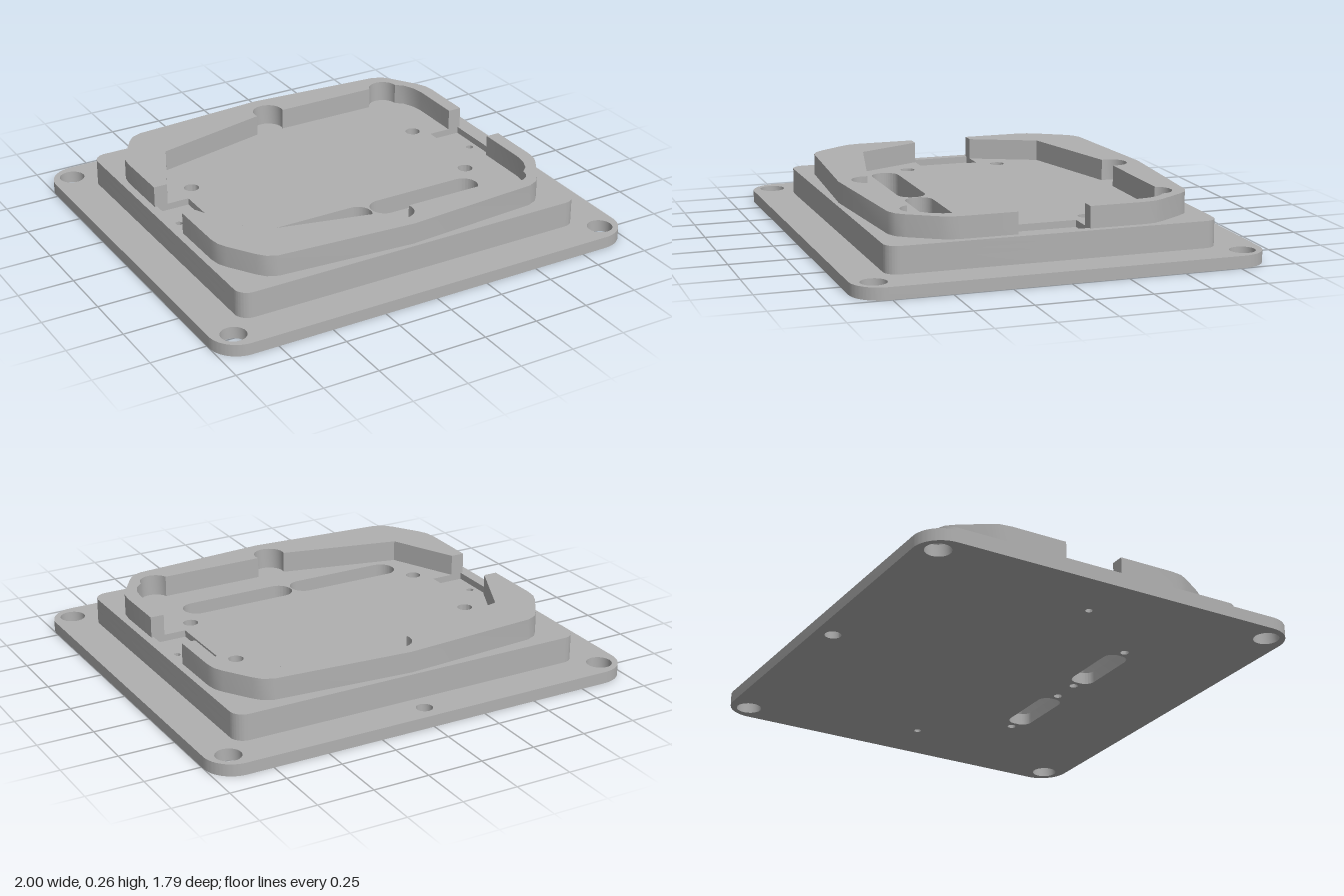
import * as THREE from 'three';
import { toCreasedNormals } from 'three/addons/utils/BufferGeometryUtils.js';

const BASE_TOP = 0.053, STEP_TOP = 0.17, WALL_TOP = 0.265;

// Plan shapes are drawn in (x, -z) and extruded upwards.
function roundedRect(target, x0, x1, z0, z1, r) {
  const a = -z1, b = -z0;
  target.moveTo(x0 + r, a);
  target.lineTo(x1 - r, a);
  if (r) target.absarc(x1 - r, a + r, r, -Math.PI / 2, 0);
  target.lineTo(x1, b - r);
  if (r) target.absarc(x1 - r, b - r, r, 0, Math.PI / 2);
  target.lineTo(x0 + r, b);
  if (r) target.absarc(x0 + r, b - r, r, Math.PI / 2, Math.PI);
  target.lineTo(x0, a + r);
  if (r) target.absarc(x0 + r, a + r, r, Math.PI, Math.PI * 1.5);
  return target;
}

const rectHole = (...args) => roundedRect(new THREE.Path(), ...args);
const roundHole = (x, z, r) => new THREE.Path().absarc(x, -z, r, 0, Math.PI * 2);

// One half of the raised rim; s = 1 for the back, -1 for the front.
function rimShape(s) {
  const notch = { left: 0.157, right: 0.137 };
  const corner = [[0.797, 0.40], [0.79, 0.45], [0.77, 0.49], [0.695, 0.605], [0.665, 0.64], [0.62, 0.66]];
  const innerCorner = [[0.735, 0.40], [0.727, 0.455], [0.705, 0.505], [0.672, 0.535]];
  const flip = list => list.map(([x, y]) => [-x, y]).reverse();
  const arc = (cx, cy, r, a0, a1) => Array.from({ length: 17 }, (_, i) => {
    const a = a0 + (a1 - a0) * i / 16;
    return [cx + r * Math.cos(a), cy + r * Math.sin(a)];
  });
  // Screw clearances scooped out of the inside edge
  const scoop = arc(0.605, 0.535, 0.067, 0.05, Math.PI - 0.3);
  const middle = arc(0, 0.575, 0.07, -0.29, Math.PI + 0.29);
  const points = [
    [0.797, notch.left], ...corner, [0, 0.705], ...flip(corner), [-0.797, notch.right],
    [-0.735, notch.right], ...flip([...innerCorner, ...scoop]),
    ...middle.reverse(), ...[...innerCorner, ...scoop].reverse(), [0.735, notch.left],
  ];
  return new THREE.Shape(points.map(([x, y]) => new THREE.Vector2(x, y * s)));
}

export function createModel() {
  const model = new THREE.Group();
  model.name = 'mountingPlate';
  const grey = new THREE.MeshStandardMaterial({ color: 0xb0b0b0 });
  grey.name = 'grey';

  function slab(name, shape, y0, y1, holes = []) {
    shape.holes.push(...holes);
    let geometry = new THREE.ExtrudeGeometry(shape, { depth: y1 - y0, bevelEnabled: false, curveSegments: 14 });
    geometry.rotateX(-Math.PI / 2);
    geometry.translate(0, y0, 0);
    geometry = toCreasedNormals(geometry, 0.5);
    const mesh = new THREE.Mesh(geometry, grey);
    mesh.name = name;
    model.add(mesh);
  }

  const sides = [-1, 1];
  const slotX = [-0.273, 0.273], slotZ = 0.358;

  // Thin pin holes running through both lower levels
  const pinHoles = () => sides.map(s => roundHole(s * 0.75, 0, 0.016));

  // Flange with corner bolt holes, rear hole and connector slots
  const flangeHoles = [...pinHoles(), roundHole(0, -0.813, 0.036)];
  for (const sx of sides) for (const sz of sides) flangeHoles.push(roundHole(sx * 0.905, sz * 0.8, 0.056));
  for (const x of slotX) {
    flangeHoles.push(rectHole(x - 0.168, x + 0.168, slotZ - 0.055, slotZ + 0.055, 0.045));
    for (const s of sides) flangeHoles.push(roundHole(x + s * 0.206, slotZ, 0.019));
  }
  slab('flange', roundedRect(new THREE.Shape(), -1, 1, -0.895, 0.895, 0.13), 0, BASE_TOP, flangeHoles);

  // Raised platform, in layers so that each recess has its own depth
  const platform = () => roundedRect(new THREE.Shape(), -0.83, 0.83, -0.725, 0.725, 0.06);
  const connectorRecesses = () => slotX.map(x =>
    rectHole(x - 0.27, x + 0.27, slotZ - 0.063, slotZ + 0.063, 0.0625));
  const blindHoles = () => sides.flatMap(sx => sides.map(sz => roundHole(sx * 0.577, sz * 0.222, 0.033)));
  const notchRecesses = () => [
    rectHole(-0.786, -0.635, -0.137, 0.137, 0),
    rectHole(0.635, 0.786, -0.157, 0.157, 0),
  ];
  slab('platformLower', platform(), BASE_TOP, 0.11, [...connectorRecesses(), ...pinHoles()]);
  slab('platformMiddle', platform(), 0.11, 0.14, [...connectorRecesses(), ...pinHoles(), ...blindHoles()]);
  slab('platformUpper', platform(), 0.14, STEP_TOP, [...connectorRecesses(), ...notchRecesses(), ...blindHoles()]);

  // Rim halves, separated by the side notches
  slab('backRim', rimShape(1), STEP_TOP, WALL_TOP);
  slab('frontRim', rimShape(-1), STEP_TOP, WALL_TOP);

  return model;
}
